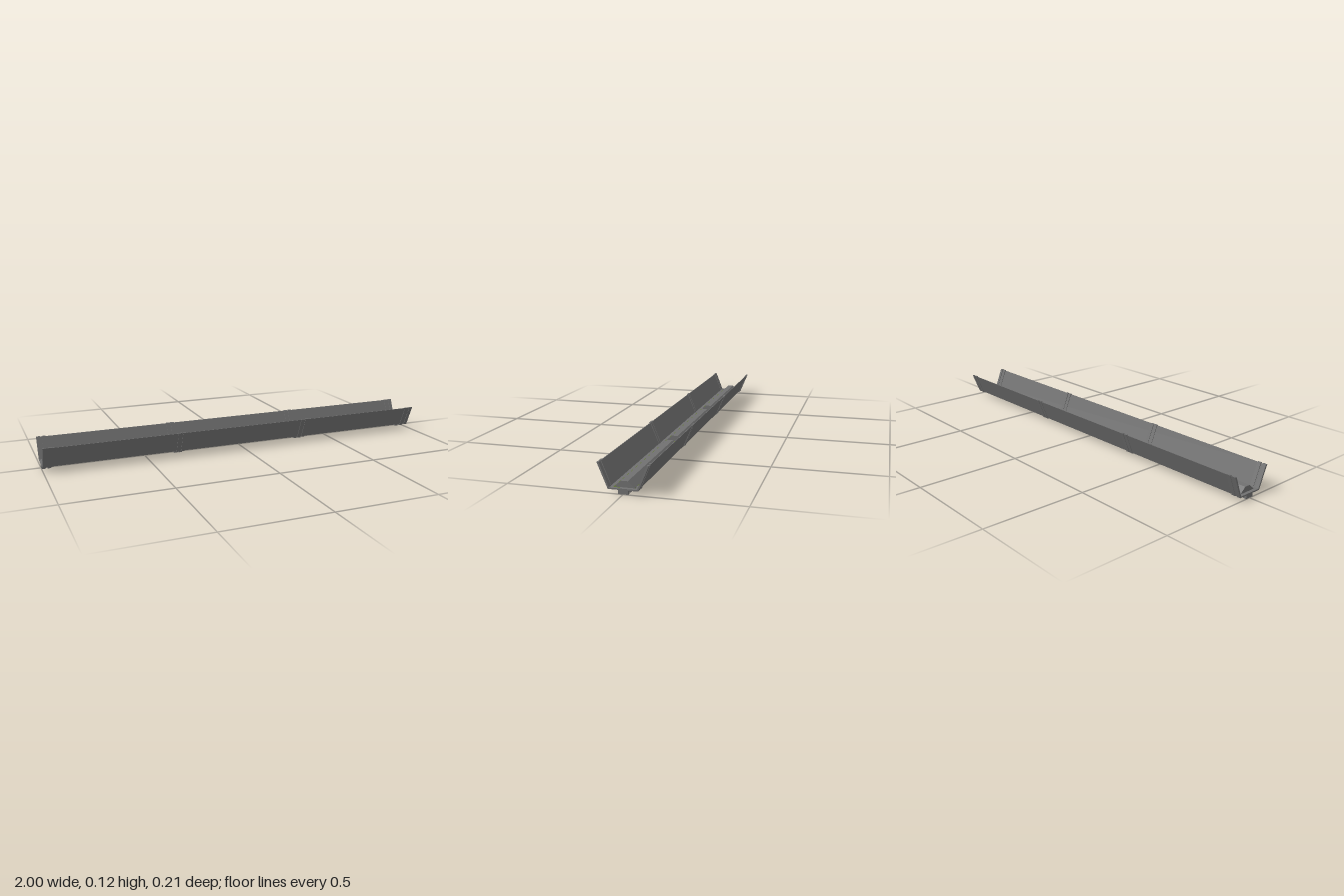
import * as THREE from 'three';

const grey = new THREE.MeshStandardMaterial({ color: 0x707070 });
grey.name = 'grey metal';
const green = new THREE.MeshStandardMaterial({ color: 0x5c7a1e });
green.name = 'olive green';

// Extrude a closed [z, y] outline along x, between x0 and x1
function extrudeX(points, x0, x1, material, name) {
  const shape = new THREE.Shape(points.map(([z, y]) => new THREE.Vector2(-z, y)));
  const geometry = new THREE.ExtrudeGeometry(shape, { depth: x1 - x0, bevelEnabled: false });
  geometry.rotateY(Math.PI / 2);
  geometry.translate(x0, 0, 0);
  const mesh = new THREE.Mesh(geometry, material);
  mesh.name = name;
  return mesh;
}

function box(x0, x1, y0, y1, z0, z1, material, name) {
  const mesh = new THREE.Mesh(new THREE.BoxGeometry(x1 - x0, y1 - y0, z1 - z0), material);
  mesh.position.set((x0 + x1) / 2, (y0 + y1) / 2, (z0 + z1) / 2);
  mesh.name = name;
  return mesh;
}

export function createModel() {
  const model = new THREE.Group();
  model.name = 'trough';

  // Thin sloping walls, each with a strip of floor up to the centre slot
  const wall = [[0.104, 0.122], [0.0615, 0.0205], [0.015, 0.0205], [0.015, 0.0225],
    [0.0595, 0.0225], [0.101, 0.122]];
  for (const side of [1, -1]) {
    const outline = wall.map(([z, y]) => [z * side, y]);
    model.add(extrudeX(outline, -0.995, 0.995, grey, side > 0 ? 'frontWall' : 'backWall'));
  }

  // Floor plates closing the slot at the ends and joints
  for (const [x0, x1] of [[-0.995, -0.985], [-0.375, -0.295], [0.295, 0.37], [0.99, 0.995]]) {
    model.add(box(x0, x1, 0.0205, 0.0225, -0.015, 0.015, grey, 'floorPlate'));
  }

  // Raised covers with green strips beneath, showing through the slot
  const hump = [[0.043, 0.0235], [0.0145, 0.05], [-0.0145, 0.05], [-0.043, 0.0235]];
  for (const [x0, x1] of [[-0.985, -0.378], [-0.297, 0.292], [0.37, 0.983]]) {
    model.add(extrudeX(hump, x0, x1, grey, 'cover'));
    model.add(box(x0, x1 + 0.005, 0.0226, 0.0235, -0.044, 0.044, green, 'greenStrip'));
  }

  // Paired ribs, each standing on a small foot
  const rib = [[0.107, 0.124], [0.063, 0.0175], [-0.063, 0.0175], [-0.107, 0.124],
    [-0.098, 0.124], [-0.058, 0.0235], [0.058, 0.0235], [0.098, 0.124]];
  for (const x of [0.322, 0.345, 0.964, 0.991]) {
    for (const side of [1, -1]) {
      const c = x * side;
      const group = new THREE.Group();
      group.name = 'rib';
      group.add(extrudeX(rib, c - 0.009, c + 0.009, grey, 'ribFrame'));
      group.add(box(c - 0.008, c + 0.008, 0, 0.0175, -0.021, 0.021, grey, 'foot'));
      model.add(group);
    }
  }
  return model;
}
